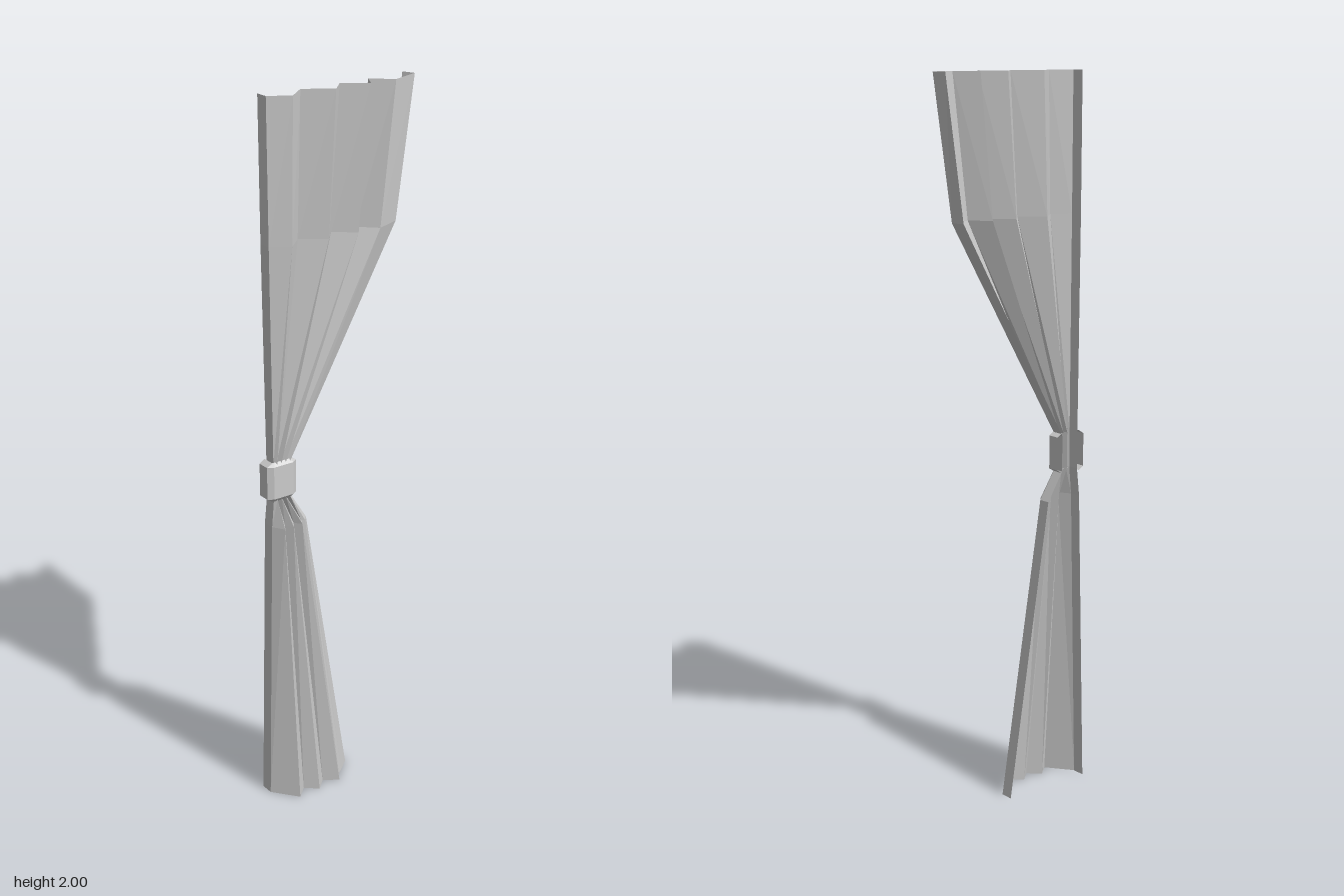
import * as THREE from 'three';

const material = new THREE.MeshStandardMaterial({
  color: 0xcccccc, flatShading: true, side: THREE.DoubleSide,
});

// Open sheet lofted through rows of equal length; each row is { y, pts: [[x, z], ...] }, top to bottom
function loft(name, rows) {
  const pos = [];
  const at = (r, i) => [rows[r].pts[i][0], rows[r].y, rows[r].pts[i][1]];
  for (let r = 0; r < rows.length - 1; r++) {
    for (let i = 0; i < rows[r].pts.length - 1; i++) {
      const a = at(r, i), b = at(r + 1, i), c = at(r + 1, i + 1), d = at(r, i + 1);
      pos.push(...a, ...b, ...d, ...b, ...c, ...d);
    }
  }
  const geometry = new THREE.BufferGeometry();
  geometry.setAttribute('position', new THREE.Float32BufferAttribute(pos, 3));
  geometry.computeVertexNormals();
  const mesh = new THREE.Mesh(geometry, material);
  mesh.name = name;
  return mesh;
}

// Blend two cross-sections, separately in x and z
const blend = (a, b, tx, tz) => a.map(([x, z], i) => [
  THREE.MathUtils.lerp(x, b[i][0], tx),
  THREE.MathUtils.lerp(z, b[i][1], tz),
]);

export function createModel() {
  const group = new THREE.Group();
  group.name = 'tiedCurtain';

  // Pleated sections as [x, z], from the front hem round to the back hem
  const top = [
    [-0.055, 0.217], [-0.018, 0.217], [0.015, 0.16], [-0.036, 0.102], [0.015, 0.03],
    [-0.036, -0.018], [0.012, -0.08], [-0.036, -0.107], [0.012, -0.16], [-0.02, -0.245], [-0.055, -0.232],
  ];
  const floor = [
    [-0.055, 0.243], [-0.018, 0.243], [0.052, 0.188], [0.022, 0.155], [0.052, 0.12],
    [0.022, 0.088], [0.05, 0.048], [0.022, 0.029], [0.01, 0.012], [-0.018, -0.023], [-0.055, -0.023],
  ];
  // Gathered section under the tie
  const pinch = top.map(([x], i) => {
    const depth = i === 0 || i === 10 ? -0.055 : i === 1 || i === 9 ? -0.022 : i % 2 ? -0.028 : -0.014;
    return [depth, 0.211 - 0.054 * THREE.MathUtils.clamp((i - 1) / 8, 0, 1)];
  });

  group.add(loft('curtain', [
    { y: 2, pts: top },
    { y: 1.62, pts: blend(top, pinch, 0.05, 0.14) },
    { y: 1.02, pts: pinch },
    { y: 0.92, pts: pinch },
    { y: 0.84, pts: blend(pinch, floor, 0.4, 0.27) },
    { y: 0, pts: floor },
  ]));

  // Tie band: C-shaped strap with bevelled upper and lower rims
  const strap = (inset) => [
    [-0.055, 0.233 - inset], [-0.02, 0.233 - inset], [-0.01 - inset / 2, 0.217 - inset / 2],
    [-0.01 - inset / 2, 0.155 + inset / 2], [-0.02, 0.14 + inset], [-0.055, 0.14 + inset],
  ];
  group.add(loft('tieBand', [
    { y: 1.028, pts: strap(0.016) },
    { y: 1.018, pts: strap(0) },
    { y: 0.925, pts: strap(0) },
    { y: 0.915, pts: strap(0.016) },
  ]));

  return group;
}
